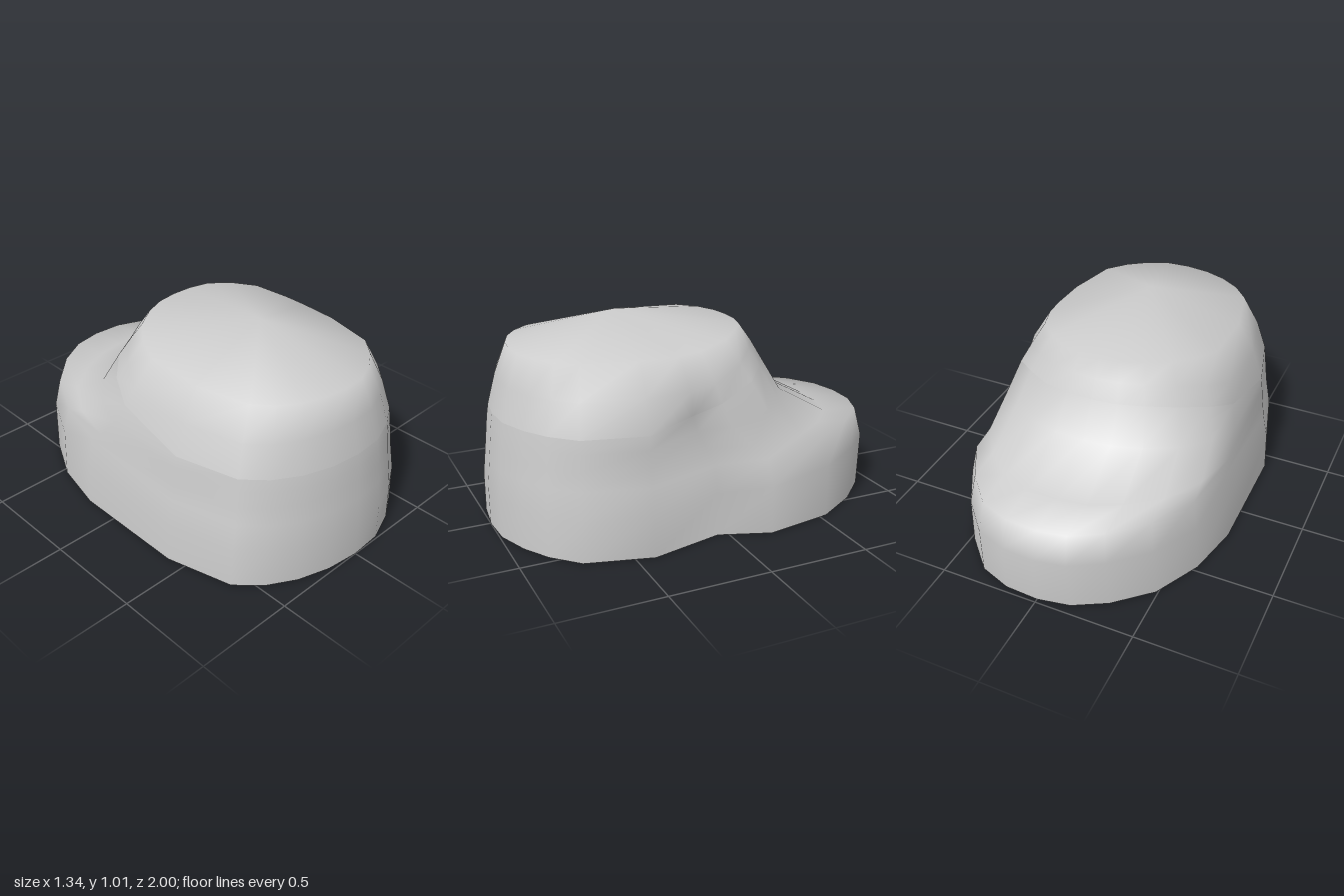
import * as THREE from 'three';

const { smoothstep, lerp } = THREE.MathUtils;

// Ground outline as [x, z], from the back round the notched +x side to the front and round again
const OUTLINE = [
  [0, -1], [0.17, -0.99], [0.33, -0.93], [0.48, -0.77], [0.61, -0.55], [0.67, -0.2],
  [0.58, 0.05], [0.665, 0.41], [0.58, 0.73], [0.46, 0.85], [0.33, 0.93], [0.17, 0.99],
  [0, 1], [-0.17, 0.98], [-0.33, 0.93], [-0.47, 0.85], [-0.58, 0.74], [-0.67, 0.41],
  [-0.67, -0.2], [-0.61, -0.48], [-0.49, -0.72], [-0.32, -0.88], [-0.16, -0.97],
];
const NOTCH = 6;

// Each ring: front z and y, back z and y
const RINGS = [
  { fz: 1.0, fy: 0, bz: -0.98, by: 0 },
  { fz: 1.0, fy: 0.2, bz: -1.0, by: 0.27 },
  { fz: 0.987, fy: 0.33, bz: -0.96, by: 0.42 },
  { fz: 0.978, fy: 0.42, bz: -0.75, by: 0.435 },
  { fz: 0.97, fy: 0.5, bz: -0.47, by: 0.585 },
  { fz: 0.96, fy: 0.565, bz: -0.37, by: 0.755 },
  { fz: 0.92, fy: 0.72, bz: -0.325, by: 0.84 },
  { fz: 0.865, fy: 0.872, bz: -0.27, by: 0.925 },
];
const CREASE = 5;
const RIM = 7;
const APEX = [0, 1.01, 0.33];

// Side profile: [height, width factor]
const WIDTHS = [[0, 1], [0.1, 1], [0.22, 0.985], [0.35, 0.94], [0.56, 0.903], [0.72, 0.82], [0.872, 0.69], [0.925, 0.64]];

function widthAt(y) {
  const i = Math.max(1, WIDTHS.findIndex(([h]) => h >= y - 1e-6));
  const [[y0, w0], [y1, w1]] = [WIDTHS[i - 1], WIDTHS[i]];
  return lerp(w0, w1, (y - y0) / (y1 - y0));
}

function ringPoint(k, i) {
  const { fz, fy, bz, by } = RINGS[k];
  let [x, z] = OUTLINE[i];
  // The rings rise towards the back, later on the crown than below it
  const y = lerp(fy, by, 1 - smoothstep(z, -0.95, k > CREASE ? 0.05 : 0.4));
  // The notch fades out towards the crown
  if (i === NOTCH) x += 0.1 * smoothstep(k, 4, RIM);
  // Waist where the rear shoulder tucks into the dome on the notched side
  if (x > 0 && k >= 3 && k <= CREASE) x *= 1 - 0.06 * Math.exp(-(((z + 0.15) / 0.25) ** 2));
  // Front and back halves draw in separately towards the apex
  const reach = z - APEX[2];
  if (reach > 0) z = APEX[2] + reach * (fz - APEX[2]) / (1 - APEX[2]);
  else z += (bz + 1) * (-reach / (1 + APEX[2])) ** (1.5 - 0.07 * k);
  return [x * widthAt(y), y, z];
}

// Skin between two rings, optionally closed by a cone to a tip
function makeSkin(name, from, to, tip, material) {
  const n = OUTLINE.length;
  const points = [];
  const index = [];
  for (let k = from; k <= to; k++) {
    for (let i = 0; i < n; i++) {
      points.push(ringPoint(k, i));
      const a = (k - from) * n + i;
      const b = (k - from) * n + ((i + 1) % n);
      if (k < to) index.push(a, a + n, b, b, a + n, b + n);
      else if (tip) index.push(a, (to - from + 1) * n, b);
    }
  }
  if (tip) points.push(tip);
  const geometry = new THREE.BufferGeometry();
  geometry.setAttribute('position', new THREE.Float32BufferAttribute(points.flat(), 3));
  geometry.setIndex(index);
  geometry.computeVertexNormals();
  const mesh = new THREE.Mesh(geometry, material);
  mesh.name = name;
  return mesh;
}

export function createModel() {
  const group = new THREE.Group();
  group.name = 'boulder';
  const material = new THREE.MeshStandardMaterial({ color: 0xcccccc });

  // Lower rock with the rear shoulder, and the dome above the crease
  group.add(makeSkin('lowerRock', 0, CREASE, null, material));
  group.add(makeSkin('dome', CREASE, RIM, APEX, material));

  // Flat underside
  const outline = new THREE.Shape(OUTLINE.map((_, i) => {
    const [x, , z] = ringPoint(0, i);
    return new THREE.Vector2(x, z);
  }));
  const underside = new THREE.Mesh(new THREE.ShapeGeometry(outline).rotateX(Math.PI / 2), material);
  underside.name = 'underside';
  group.add(underside);

  return group;
}
